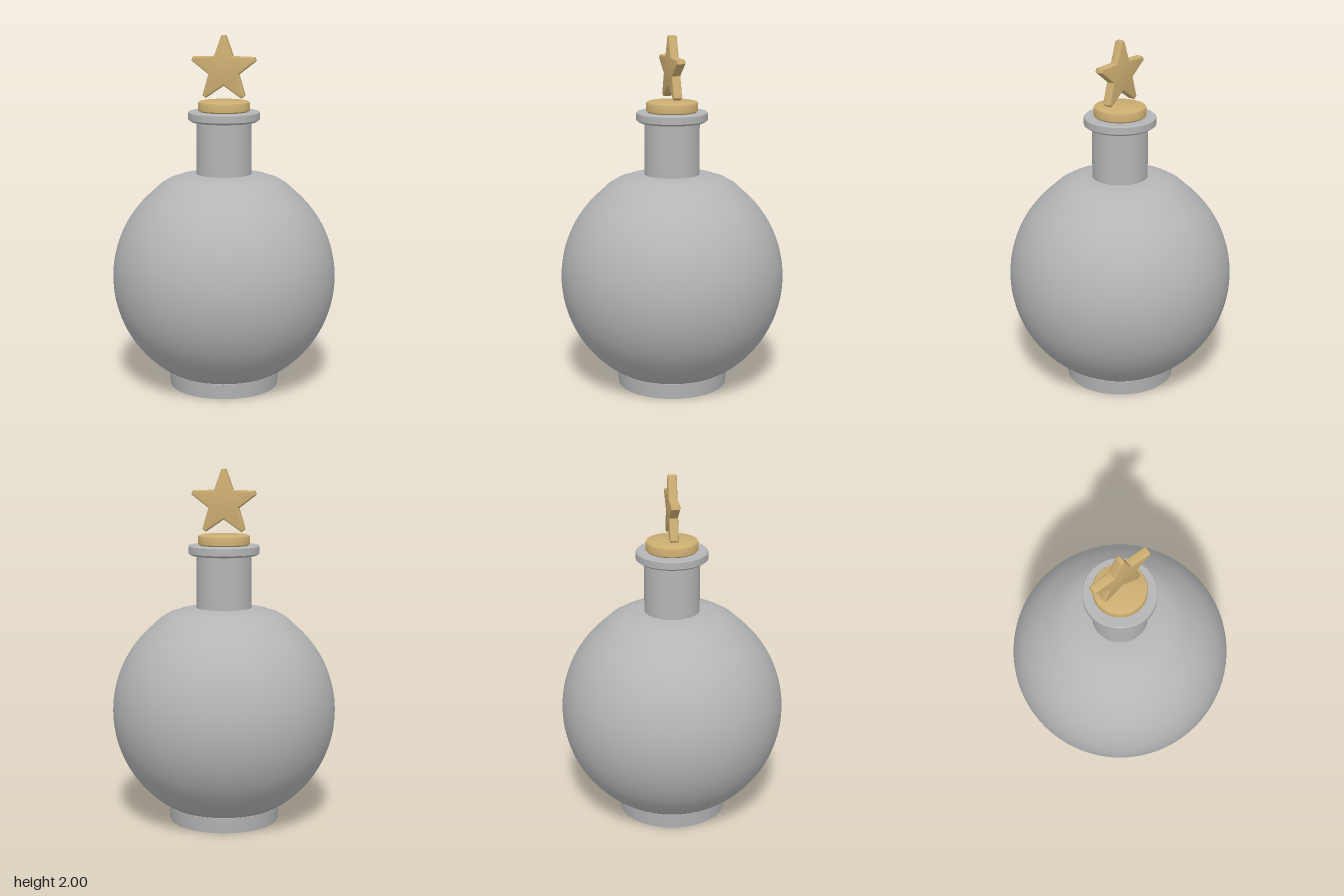
import * as THREE from 'three';
import { toCreasedNormals } from 'three/addons/utils/BufferGeometryUtils.js';

const glass = new THREE.MeshStandardMaterial({ color: 0xb3b5b6 });
glass.name = 'grey glass';
const gold = new THREE.MeshStandardMaterial({ color: 0xcdae72 });
gold.name = 'gold';

// Turned part from [radius, height] points, listed bottom to top
function turned(name, points, material) {
  const profile = points.map(([r, y]) => new THREE.Vector2(r, y));
  const mesh = new THREE.Mesh(toCreasedNormals(new THREE.LatheGeometry(profile, 80), 0.5), material);
  mesh.name = name;
  return mesh;
}

// Round body, with a softly flattened shoulder
function bodyProfile() {
  const R = 0.632, cy = 0.637, start = -1.047, end = 0.87, steps = 36;
  const points = [];
  for (let i = 0; i <= steps; i++) {
    const a = start + (end - start) * i / steps;
    points.push([R * Math.cos(a), cy + R * Math.sin(a)]);
  }
  points.push([0.362, 1.163], [0.31, 1.194], [0.25, 1.214], [0.2, 1.223], [0.15, 1.227]);
  return points;
}

// Five-pointed star plate with bevelled edges
function star() {
  const bevel = 0.008, depth = 0.05, outer = 0.18, inner = 0.08;
  const shape = new THREE.Shape();
  for (let i = 0; i < 5; i++) {
    const a = Math.PI / 2 + i * Math.PI * 0.4;
    // Blunt tip, then the notch that follows it
    for (const side of [-1, 1]) {
      const x = outer * Math.cos(a) - side * 0.006 * Math.sin(a);
      const y = outer * Math.sin(a) + side * 0.006 * Math.cos(a);
      if (i === 0 && side === -1) shape.moveTo(x, y);
      else shape.lineTo(x, y);
    }
    shape.lineTo(inner * Math.cos(a + Math.PI / 5), inner * Math.sin(a + Math.PI / 5));
  }
  shape.closePath();
  const geometry = new THREE.ExtrudeGeometry(shape, {
    depth: depth - 2 * bevel, bevelEnabled: true, bevelThickness: bevel, bevelSize: bevel, bevelSegments: 3,
  });
  geometry.translate(0, 0, bevel - depth / 2);
  const mesh = new THREE.Mesh(toCreasedNormals(geometry, 0.6), gold);
  mesh.name = 'star';
  mesh.position.y = 1.812;
  mesh.rotation.y = THREE.MathUtils.degToRad(28.5);
  return mesh;
}

export function createModel() {
  const model = new THREE.Group();
  model.name = 'bottle';
  model.add(
    turned('foot', [[0, 0], [0.309, 0], [0.317, 0.088], [0.3, 0.09]], glass),
    turned('body', bodyProfile(), glass),
    turned('neck', [[0.155, 1.22], [0.155, 1.525]], glass),
    turned('lip', [[0.15, 1.518], [0.185, 1.522], [0.2, 1.533], [0.2, 1.572], [0.194, 1.578], [0, 1.578]], glass),
    turned('stopper', [[0.139, 1.578], [0.145, 1.585], [0.145, 1.625], [0.142, 1.632], [0.135, 1.635], [0, 1.635]], gold),
    star(),
  );
  return model;
}
